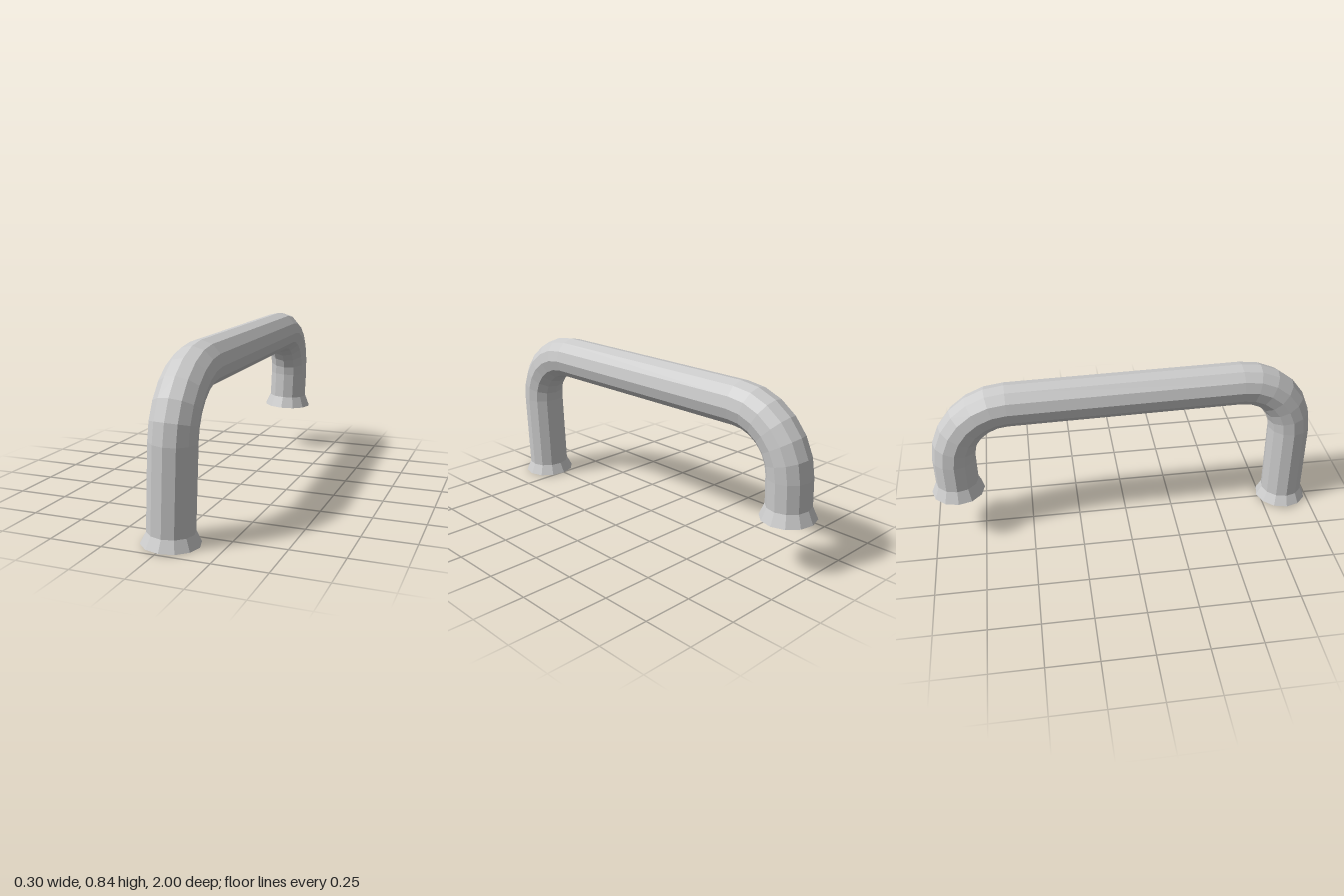
import * as THREE from 'three';

const SIDES = 12, RADIUS = 0.107, FLARE = 0.133;
const LEG_Z = 0.865, BAR_Y = 0.735, BEND = 0.28, BEND_STEPS = 6;
const FRONT = { base: 0.007, neck: 0.06 }, REAR = { base: 0.257, neck: 0.317 };

// Joins rings {y, z, angle} into an open tube; angle is the travel direction from +y towards -z
function sweep(rings) {
  const positions = [], index = [];
  rings.forEach(({ y, z, angle }, r) => {
    for (let i = 0; i < SIDES; i++) {
      const t = (i / SIDES) * Math.PI * 2;
      const out = RADIUS * Math.cos(t);
      positions.push(RADIUS * Math.sin(t), y + out * Math.sin(angle), z + out * Math.cos(angle));
      if (r === 0) continue;
      const j = (i + 1) % SIDES, lo = (r - 1) * SIDES, hi = r * SIDES;
      index.push(lo + i, lo + j, hi + j, lo + i, hi + j, hi + i);
    }
  });
  const geometry = new THREE.BufferGeometry();
  geometry.setAttribute('position', new THREE.Float32BufferAttribute(positions, 3));
  geometry.setIndex(index);
  geometry.computeVertexNormals();
  return geometry;
}

export function createModel() {
  const group = new THREE.Group();
  group.name = 'handle';
  const material = new THREE.MeshStandardMaterial({
    color: 0xcccccc, flatShading: true, side: THREE.DoubleSide,
  });
  const add = (name, geometry) => {
    const mesh = new THREE.Mesh(geometry, material);
    mesh.name = name;
    group.add(mesh);
    return mesh;
  };

  // Bent tube: up the front leg, along the bar, down the shorter rear leg
  const rings = [{ y: FRONT.neck, z: LEG_Z, angle: 0 }];
  for (const side of [1, -1]) {
    for (let i = 0; i <= BEND_STEPS; i++) {
      const angle = ((i / BEND_STEPS) + (side > 0 ? 0 : 1)) * Math.PI / 2;
      rings.push({
        y: BAR_Y - BEND + BEND * Math.sin(angle),
        z: side * (LEG_Z - BEND) + BEND * Math.cos(angle),
        angle,
      });
    }
  }
  rings.push({ y: REAR.neck, z: -LEG_Z, angle: Math.PI });
  add('handleTube', sweep(rings));

  // Open flared feet
  for (const [name, foot, z] of [['frontFlare', FRONT, LEG_Z], ['rearFlare', REAR, -LEG_Z]]) {
    const height = foot.neck - foot.base;
    add(name, new THREE.CylinderGeometry(RADIUS, FLARE, height, SIDES, 1, true))
      .position.set(0, foot.base + height / 2, z);
  }

  // Slight lean and turn of the whole handle
  group.rotation.set(0, 0.0254, -0.04);
  group.position.x = -0.01;
  const model = new THREE.Group();
  model.add(group);
  return model;
}
